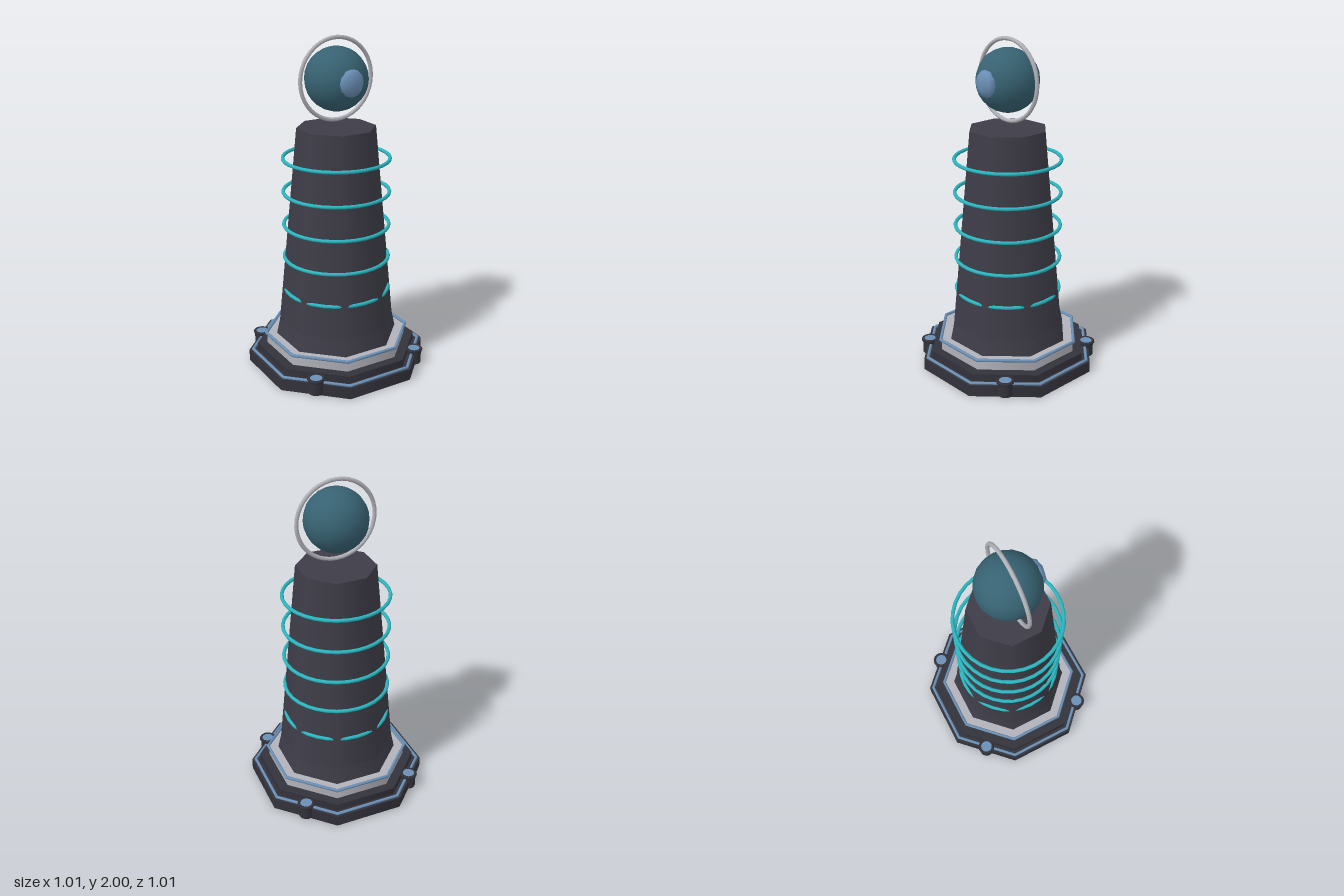
import * as THREE from 'three';

const mat = (name, color) => {
  const m = new THREE.MeshStandardMaterial({ color });
  m.name = name;
  return m;
};

export function createModel() {
  const model = new THREE.Group();
  model.name = 'beaconTower';

  const baseDark = mat('baseDark', 0x33323b);
  const towerDark = mat('towerDark', 0x3e3d48);
  const paleMetal = mat('paleMetal', 0xb2b2ba);
  const blue = mat('trimBlue', 0x6a8fb5);
  const teal = mat('ringTeal', 0x2ab5bf);
  const orbTeal = mat('orbTeal', 0x376272);

  const add = (name, geometry, material, x = 0, y = 0, z = 0) => {
    const mesh = new THREE.Mesh(geometry, material);
    mesh.name = name;
    mesh.position.set(x, y, z);
    model.add(mesh);
    return mesh;
  };

  // Octagonal solids are sized by the distance from centre to a flat side
  const K = Math.cos(Math.PI / 8);
  const octagon = (name, top, bottom, y0, y1, material) =>
    add(name, new THREE.CylinderGeometry(top / K, bottom / K, y1 - y0, 8, 1, false, Math.PI / 8),
      material, 0, (y0 + y1) / 2);
  const flatTorus = (radius, tube, sides, segments) =>
    new THREE.TorusGeometry(radius, tube, sides, segments).rotateX(Math.PI / 2);
  const octagonTrim = (name, apothem, tube, y) =>
    add(name, flatTorus(apothem / K, tube, 8, 8).rotateY(Math.PI / 8), blue, 0, y);

  // Stepped base
  octagon('basePlate', 0.505, 0.505, 0, 0.07, baseDark);
  octagonTrim('baseTrim', 0.483, 0.01, 0.073);
  octagon('baseStep', 0.455, 0.455, 0.07, 0.115, baseDark);
  octagon('metalPlinth', 0.4, 0.4, 0.115, 0.175, paleMetal);
  octagonTrim('plinthTrim', 0.405, 0.01, 0.18);

  // Corner bolts with a rounded rim and a blue cap
  for (const x of [-0.348, 0.348]) {
    for (const z of [-0.348, 0.348]) {
      add('cornerBolt', new THREE.CylinderGeometry(0.045, 0.045, 0.085, 12), baseDark, x, 0.0525, z);
      add('boltRim', flatTorus(0.044, 0.01, 8, 12), baseDark, x, 0.097, z);
      add('boltCap', new THREE.CylinderGeometry(0.037, 0.037, 0.008, 12), blue, x, 0.099, z);
    }
  }

  // Tapered tower with a flared foot
  octagon('towerFoot', 0.325, 0.345, 0.17, 0.27, towerDark);
  octagon('towerShaft', 0.216, 0.325, 0.27, 1.475, towerDark);

  // Floating energy rings
  for (let i = 0; i < 5; i++) {
    add('energyRing', flatTorus(0.315, 0.011, 8, 32), teal, 0, 0.475 + i * 0.204);
  }

  // Orb with its lens and upright hoop
  add('orb', new THREE.SphereGeometry(0.185, 20, 14), orbTeal, 0, 1.753);
  const lens = add('orbLens', new THREE.SphereGeometry(0.08, 8, 6), blue, 0, 1.753, 0.163);
  lens.scale.z = 0.52;
  add('orbHoop', new THREE.TorusGeometry(0.235, 0.012, 8, 40), paleMetal, 0, 1.753);

  return model;
}
